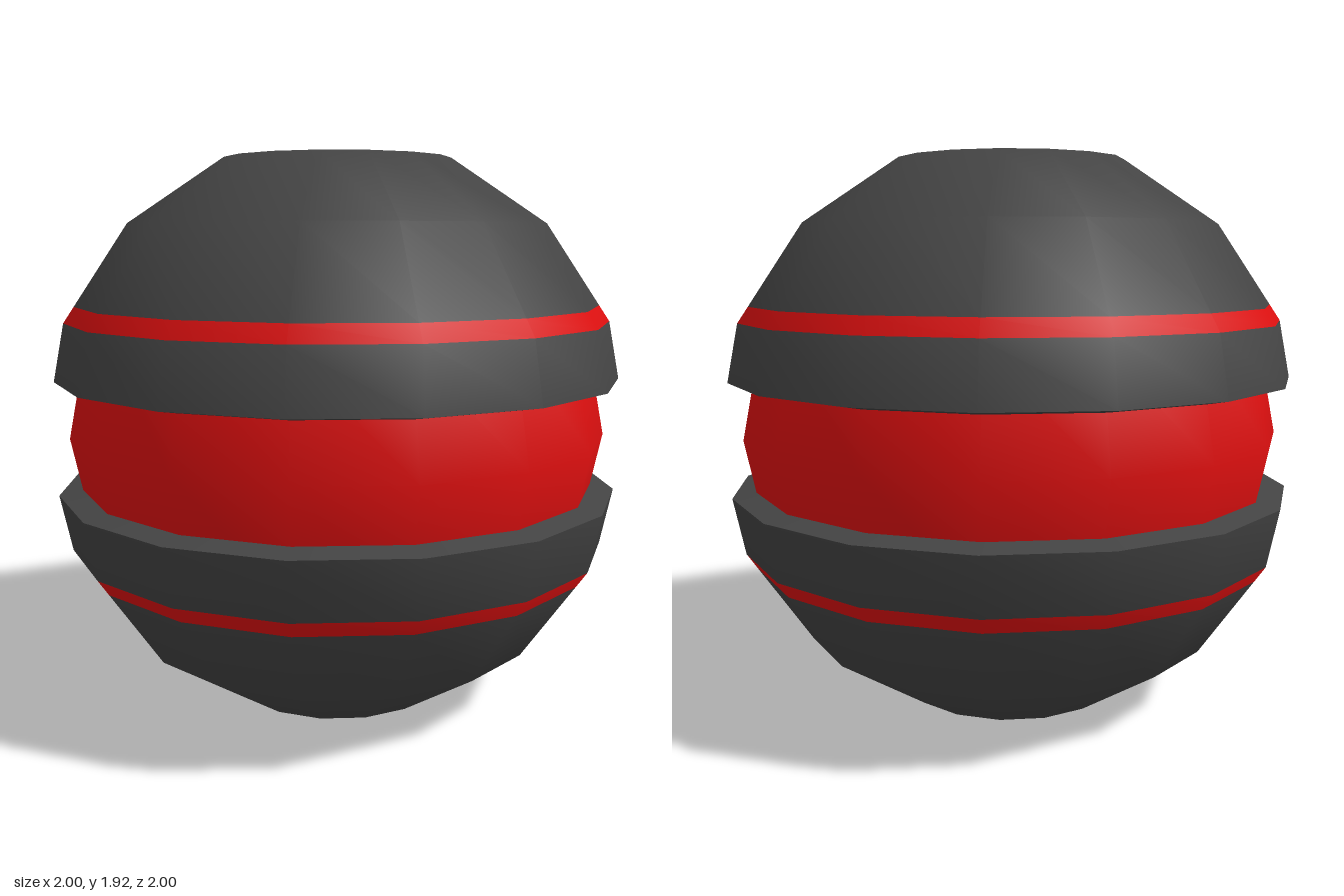
import * as THREE from 'three';

const SIDES = 16;
const CENTRE = 0.96;
const grey = new THREE.MeshStandardMaterial({ color: 0x444444, side: THREE.DoubleSide });
const red = new THREE.MeshStandardMaterial({ color: 0xe01010, side: THREE.DoubleSide });

// Sixteen-sided ring from [radius, height] pairs; round = shade like a sphere
function ring(name, profile, material, round = false) {
  const geometry = new THREE.LatheGeometry(profile.map(([r, y]) => new THREE.Vector2(r, y)), SIDES);
  if (round) {
    const p = geometry.attributes.position, n = geometry.attributes.normal, v = new THREE.Vector3();
    for (let i = 0; i < p.count; i++) {
      v.fromBufferAttribute(p, i).normalize();
      n.setXYZ(i, v.x, v.y, v.z);
    }
  }
  const mesh = new THREE.Mesh(geometry, material);
  mesh.name = name;
  return mesh;
}

// One half of the thick outer shell, open at the pole
function shellHalf(name) {
  const half = new THREE.Group();
  half.name = name;
  half.add(
    ring('shellLip', [[0.9, 0.18], [1, 0.2]], grey),
    ring('shellBelt', [[1, 0.2], [0.96, 0.4]], grey, true),
    ring('shellStripe', [[0.96, 0.4], [0.923, 0.455]], red, true),
    ring('shellDome', [[0.923, 0.455], [0.735, 0.735], [0.4, 0.96]], grey, true),
    ring('holeWall', [[0.4, 0.96], [0.395, 0.83]], grey),
    ring('holeLip', [[0.395, 0.83], [0.38, 0.8]], grey),
    ring('coreCap', [[0.39, 0.805], [0, 0.805]], red)
  );
  return half;
}

export function createModel() {
  const model = new THREE.Group();
  model.name = 'bandedSphere';

  const upper = shellHalf('upperShell');
  const lower = shellHalf('lowerShell');
  lower.rotation.x = Math.PI;

  // Inner ball seen through the gap and the pole holes
  const side = [[0.882, 0.365], [0.675, 0.675], [0.39, 0.805]];
  const core = ring('core', [
    ...side.map(([r, y]) => [r, -y]).reverse(), [0.955, 0], ...side
  ], red, true);

  for (const part of [upper, lower, core]) {
    part.position.y = CENTRE;
    model.add(part);
  }
  return model;
}
